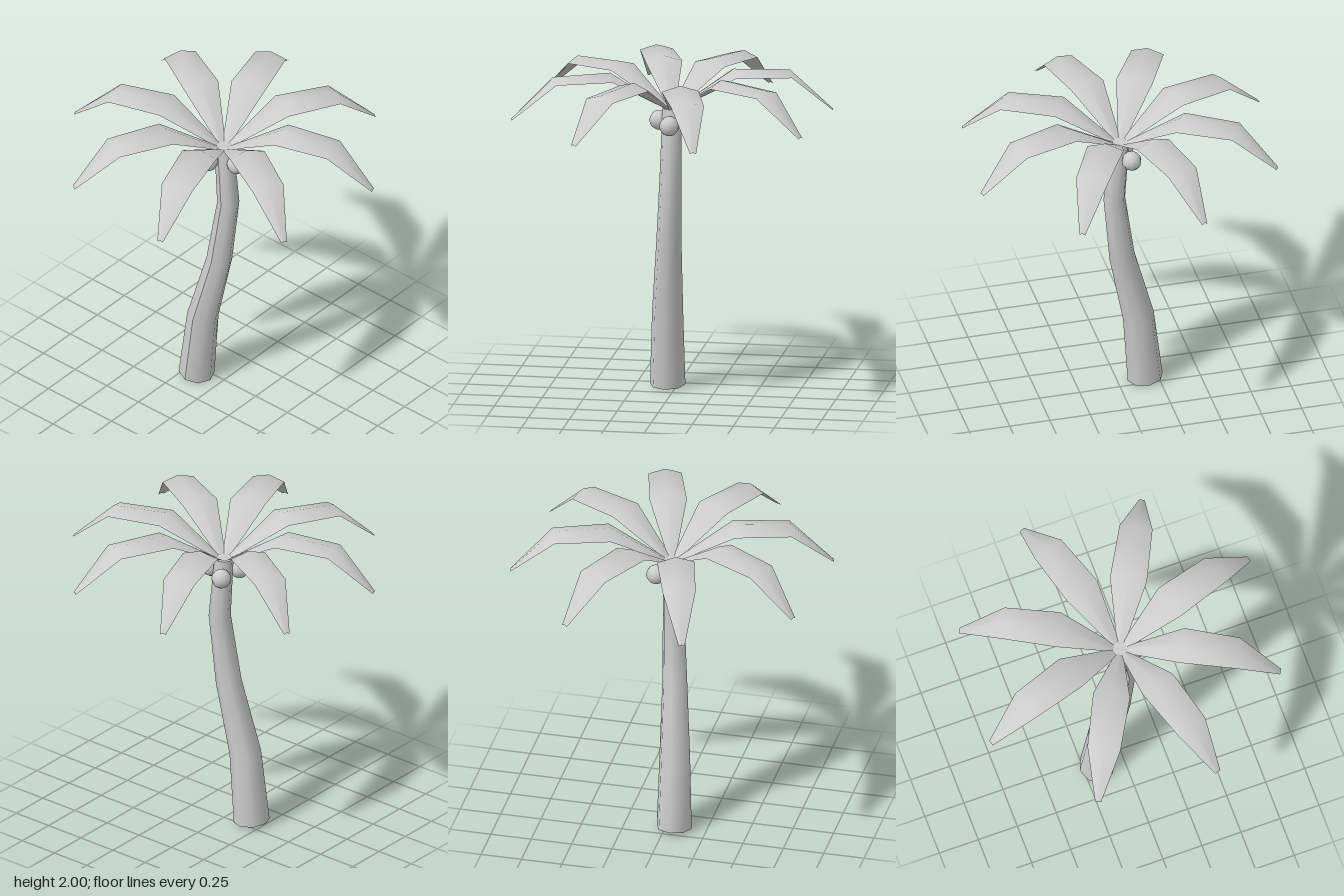
import * as THREE from 'three';

export function createModel() {
  const model = new THREE.Group();
  const grey = new THREE.MeshStandardMaterial({ color: 0xcccccc, side: THREE.DoubleSide });
  grey.name = 'palm grey';

  const add = (geometry, name, parent = model) => {
    const mesh = new THREE.Mesh(geometry, grey);
    mesh.name = name;
    parent.add(mesh);
    return mesh;
  };

  // Trunk: a tapered cylinder bent through rings of [x, y, z, radius, tilt]
  const rings = [
    [-0.17, 0.015, 0.055, 0.108, -0.12],
    [-0.126, 0.47, 0.048, 0.095, -0.15],
    [-0.018, 0.93, 0.022, 0.077, -0.2],
    [0.035, 1.37, 0.002, 0.067, 0],
    [0, 1.77, 0, 0.058, 0],
  ];
  const trunk = new THREE.CylinderGeometry(1, 1, 4, 8, 4);
  const p = trunk.attributes.position;
  for (let i = 0; i < p.count; i++) {
    const [x, y, z, r, tilt] = rings[Math.round(p.getY(i) + 2)];
    const dx = p.getX(i) * r;
    p.setXYZ(i, x + dx, y + dx * tilt, z + p.getZ(i) * r);
  }
  trunk.computeVertexNormals();
  add(trunk, 'trunk');

  // Coconuts: three in a ring below the crown
  const coconuts = new THREE.Group();
  coconuts.name = 'coconuts';
  model.add(coconuts);
  for (let i = 0; i < 3; i++) {
    const a = (i * Math.PI * 2) / 3;
    add(new THREE.SphereGeometry(0.06, 10, 8), 'coconut', coconuts)
      .position.set(0.1 * Math.cos(a), 1.68, 0.1 * Math.sin(a));
  }

  // Frond: a ridged leaf lofted from sections of [distance, ridge height, half width, fold]
  const sections = [
    [0.04, 1.775, 0.025, 0.005],
    [0.375, 2.0, 0.112, 0.035],
    [0.715, 1.985, 0.1, 0.03],
    [0.975, 1.735, 0.018, 0.008],
  ];
  const points = [];
  const faces = [];
  sections.forEach(([d, y, w, fold], i) => {
    for (const s of [-1, 0, 1]) points.push(d, y - fold * Math.abs(s), s * w);
    if (i === 0) return;
    for (let j = 0; j < 2; j++) {
      const a = (i - 1) * 3 + j;
      faces.push(a, a + 1, a + 4, a, a + 4, a + 3);
    }
  });
  const frond = new THREE.BufferGeometry();
  frond.setAttribute('position', new THREE.Float32BufferAttribute(points, 3));
  frond.setIndex(faces);
  frond.computeVertexNormals();

  // Crown: eight fronds evenly turned about the trunk
  const crown = new THREE.Group();
  crown.name = 'crown';
  model.add(crown);
  for (let i = 0; i < 8; i++) {
    add(frond, 'frond', crown).rotation.y = 0.298 + (i * Math.PI) / 4;
  }

  return model;
}
